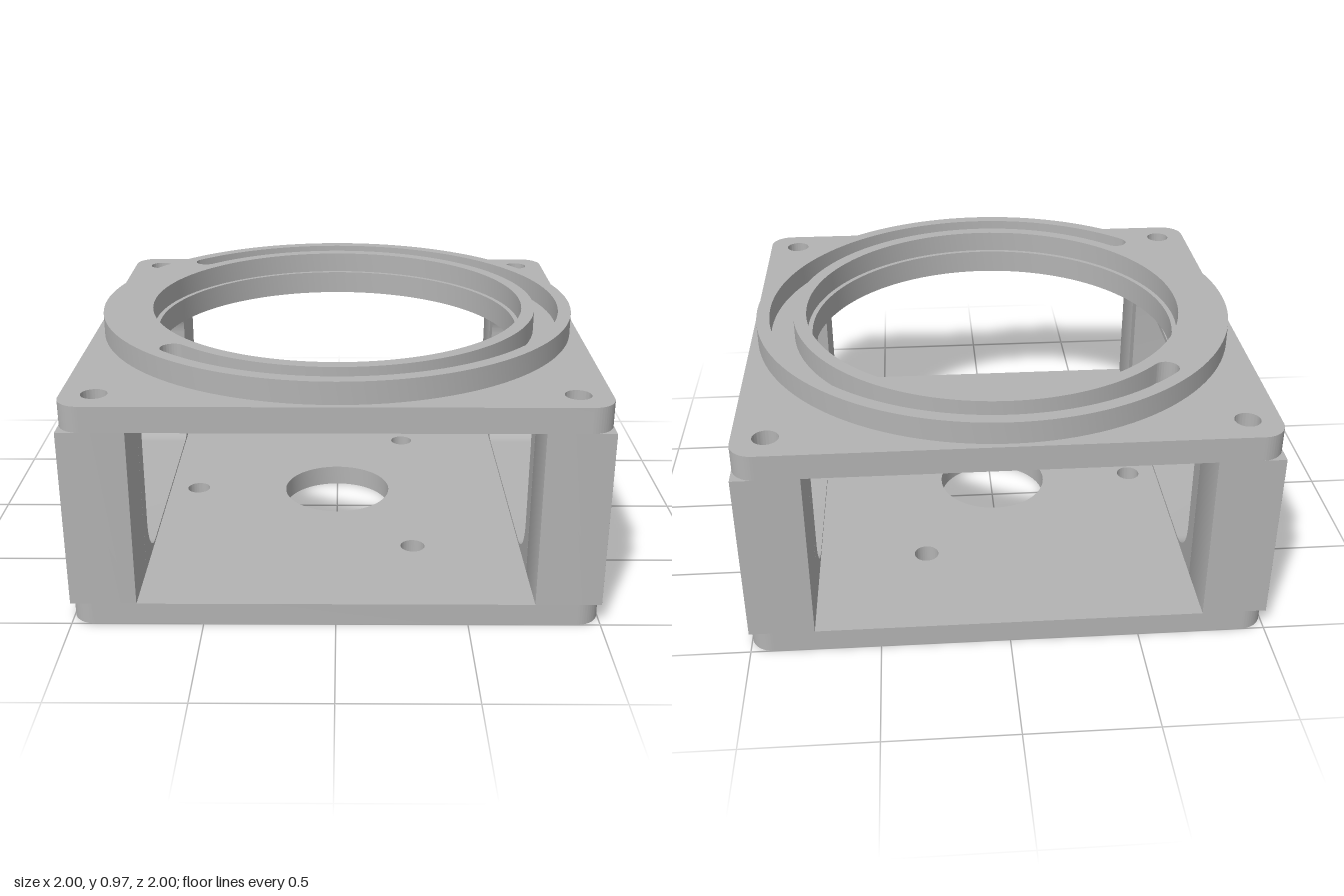
import * as THREE from 'three';
import { toCreasedNormals } from 'three/addons/utils/BufferGeometryUtils.js';

const FLOOR = 0.087, CEILING = 0.785, PLATE_TOP = 0.885, RING_TOP = 0.973;
const BOLT = 0.875, BOLT_R = 0.049;

// Rectangle with rounded corners, centred on (cx, cy)
function roundedRect(path, cx, cy, hw, hh, r) {
  const q = Math.PI / 2;
  [[1, 1], [-1, 1], [-1, -1], [1, -1]].forEach(([sx, sy], i) => {
    path.absarc(cx + sx * (hw - r), cy + sy * (hh - r), r, i * q, (i + 1) * q, false);
  });
  path.closePath();
  return path;
}

function circle(x, y, r) {
  return new THREE.Path().absarc(x, y, r, 0, Math.PI * 2, false);
}

function extrude(shape, depth, curveSegments = 32) {
  return new THREE.ExtrudeGeometry(shape, { depth, bevelEnabled: false, curveSegments });
}

// Extrude a plan outline upwards from y0 to y1
function slab(shape, y0, y1, curveSegments) {
  return extrude(shape, y1 - y0, curveSegments).rotateX(-Math.PI / 2).translate(0, y0, 0);
}

// Square plate with rounded corners and a bolt hole at each corner
function plateShape() {
  const shape = roundedRect(new THREE.Shape(), 0, 0, 1, 1, 0.09);
  for (const x of [-BOLT, BOLT]) for (const z of [-BOLT, BOLT]) shape.holes.push(circle(x, z, BOLT_R));
  return shape;
}

export function createModel() {
  const model = new THREE.Group();
  model.name = 'bearingHousing';
  const grey = new THREE.MeshStandardMaterial({ color: 0xb3b3b3 });
  grey.name = 'machined grey';

  const add = (name, geometry) => {
    const mesh = new THREE.Mesh(toCreasedNormals(geometry, 0.5), grey);
    mesh.name = name;
    model.add(mesh);
  };

  // Base plate: centre bore and three mounting holes
  const base = plateShape();
  base.holes.push(circle(0, 0, 0.231));
  for (let i = 0; i < 3; i++) {
    const a = Math.PI / 3 + i * Math.PI * 2 / 3;
    base.holes.push(circle(0.625 * Math.cos(a), 0.625 * Math.sin(a), BOLT_R));
  }
  add('basePlate', slab(base, 0, FLOOR));

  // Top plate with the large bore
  const top = plateShape();
  top.holes.push(circle(0, 0, 0.755));
  add('topPlate', slab(top, CEILING, PLATE_TOP, 64));

  // Raised ring with a wider bore and a long round-ended slot
  const ring = new THREE.Shape().absarc(0, 0, 0.978, 0, Math.PI * 2, false);
  ring.holes.push(circle(0, 0, 0.775));
  const end = Math.PI * 0.75, mid = 0.8765, half = 0.0485;
  const cx = mid * Math.cos(end), cy = mid * Math.sin(end);
  const slot = new THREE.Path();
  slot.absarc(0, 0, mid + half, -end, end, false);
  slot.absarc(cx, cy, half, end, end + Math.PI, false);
  slot.absarc(0, 0, mid - half, end, -end, true);
  slot.absarc(cx, -cy, half, Math.PI - end, Math.PI * 2 - end, false);
  ring.holes.push(slot);
  add('slottedRing', slab(ring, PLATE_TOP, RING_TOP, 64));

  for (const side of [1, -1]) {
    const label = side > 0 ? 'left' : 'right';

    // Side wall with a rounded window
    const wall = new THREE.Shape([
      new THREE.Vector2(-0.75, FLOOR), new THREE.Vector2(0.75, FLOOR),
      new THREE.Vector2(0.75, CEILING), new THREE.Vector2(-0.75, CEILING),
    ]);
    wall.holes.push(roundedRect(new THREE.Path(), 0, 0.431, 0.667, 0.334, 0.165));
    add(label + 'Wall', extrude(wall, 0.25).rotateY(Math.PI / 2).translate(side > 0 ? 0.75 : -1, 0, 0));

    // Square corner posts, bored for the long bolts
    for (const end of [1, -1]) {
      const post = roundedRect(new THREE.Shape(), side * BOLT, -end * BOLT, 0.125, 0.125, 0.0005);
      post.holes.push(circle(side * BOLT, -end * BOLT, BOLT_R));
      add(label + (end > 0 ? 'Front' : 'Back') + 'Post', slab(post, FLOOR, CEILING));
    }
  }
  return model;
}
